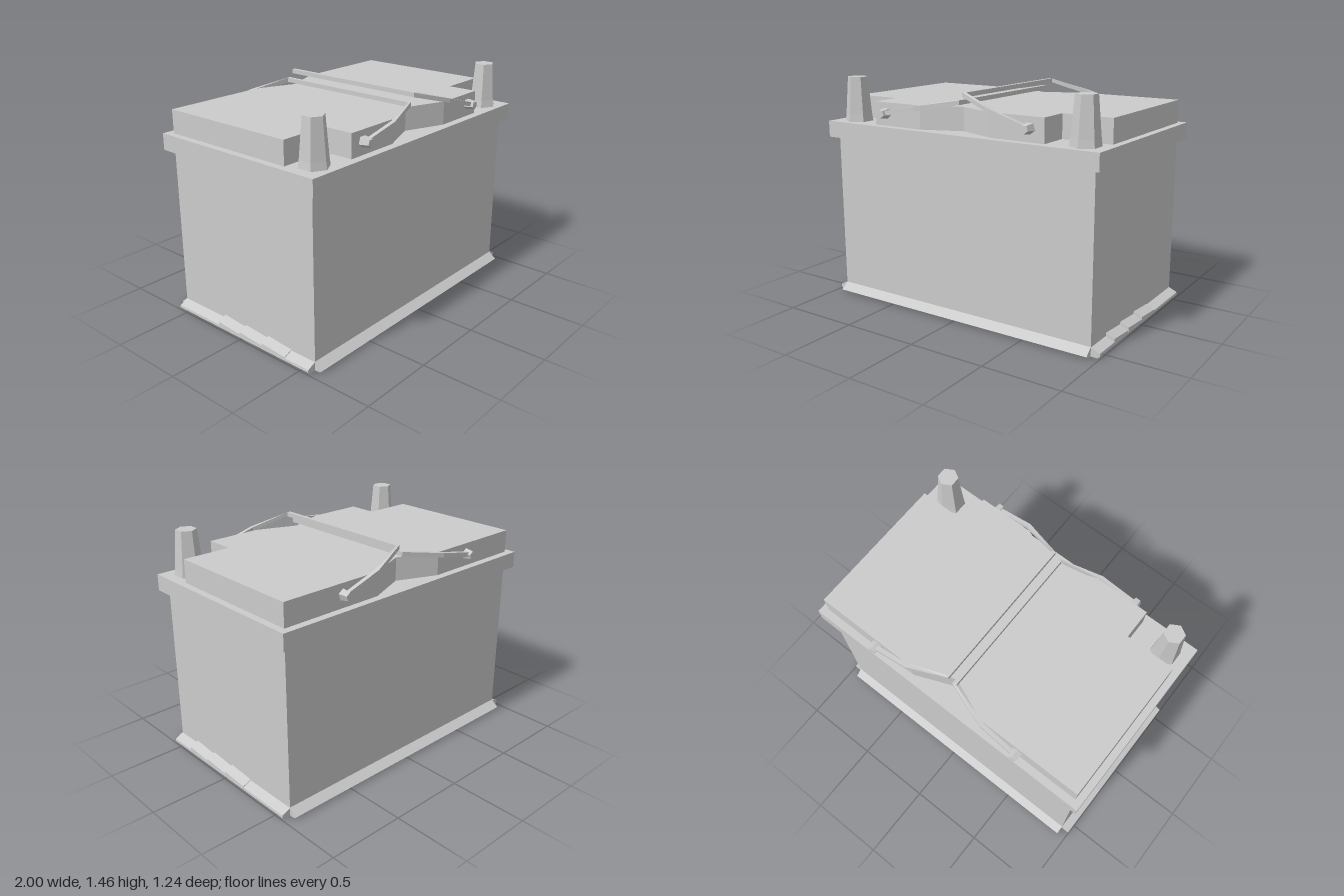
import * as THREE from 'three';

const material = new THREE.MeshStandardMaterial({ color: 0xcccccc, flatShading: true, side: THREE.DoubleSide });

function add(parent, name, geometry, x = 0, y = 0, z = 0) {
  const mesh = new THREE.Mesh(geometry, material);
  mesh.name = name;
  mesh.position.set(x, y, z);
  parent.add(mesh);
  return mesh;
}

function prism(points, depth) {
  const shape = new THREE.Shape(points.map(([x, y]) => new THREE.Vector2(x, y)));
  return new THREE.ExtrudeGeometry(shape, { depth, bevelEnabled: false });
}

// Square bar swept along a polyline, kept upright and mitred at the bends
function barGeometry(points, width, height) {
  const up = new THREE.Vector3(0, 1, 0);
  const positions = [], index = [];
  points.forEach((p, i) => {
    const before = points[Math.max(i - 1, 0)], after = points[Math.min(i + 1, points.length - 1)];
    const side = new THREE.Vector3().subVectors(after, before).cross(up).normalize();
    for (const [s, t] of [[-1, -1], [1, -1], [1, 1], [-1, 1]]) {
      const v = p.clone().addScaledVector(side, s * width / 2).addScaledVector(up, t * height / 2);
      positions.push(v.x, v.y, v.z);
    }
    if (i === 0) return;
    for (let k = 0; k < 4; k++) {
      const a = (i - 1) * 4 + k, b = (i - 1) * 4 + (k + 1) % 4;
      index.push(a, b, a + 4, b, b + 4, a + 4);
    }
  });
  const e = (points.length - 1) * 4;
  index.push(0, 2, 1, 0, 3, 2, e, e + 1, e + 2, e, e + 2, e + 3);
  const g = new THREE.BufferGeometry();
  g.setAttribute('position', new THREE.Float32BufferAttribute(positions, 3));
  g.setIndex(index);
  g.computeVertexNormals();
  return g;
}

export function createModel() {
  const model = new THREE.Group();
  model.name = 'battery';

  // Case and lid rim
  add(model, 'case', new THREE.BoxGeometry(1.88, 1.075, 1.13), 0, 0.5375, 0);
  add(model, 'lidRim', new THREE.BoxGeometry(1.97, 0.105, 1.225), 0, 1.122, 0);

  // Raised cover: notched at the terminals, pinched in the middle
  const half = [[0, 0.46], [0.26, 0.56], [0.62, 0.56], [0.62, 0.365], [0.94, 0.365],
    [0.94, -0.565], [0.26, -0.565], [0, -0.46]];
  const outline = [...half, ...half.slice(1, -1).reverse().map(([x, z]) => [-x, z])];
  const cover = prism(outline.map(([x, z]) => [x, -z]), 0.15);
  cover.rotateX(-Math.PI / 2);
  add(model, 'cover', cover, 0, 1.172, 0);

  // Flared foot along the front and back
  for (const s of [1, -1]) {
    const skirt = prism([[0, 0], [0.04, 0.004], [0.055, 0.016], [0, 0.06]], 1.88);
    skirt.translate(0, 0, -0.94);
    skirt.rotateY(-s * Math.PI / 2);
    add(model, s > 0 ? 'frontFoot' : 'backFoot', skirt, 0, 0, s * 0.562);
  }

  // Stepped foot along the two sides
  const breaks = [-0.565, -0.38, -0.19, 0, 0.19, 0.38, 0.565];
  for (const s of [1, -1]) {
    const foot = new THREE.Group();
    foot.name = s > 0 ? 'leftFoot' : 'rightFoot';
    model.add(foot);
    for (let i = 0; i < 6; i++) {
      const length = breaks[i + 1] - breaks[i];
      const rib = i > 1 && i < 5;
      const step = prism([[0, 0], [0.045, 0], [0.06, 0.014], [0.058, 0.03], [0, 0.056]], length);
      const pos = step.attributes.position;
      for (let v = 0; v < pos.count; v++) {
        // the ribs rise like saw teeth
        if (rib && pos.getY(v) > 0.025) pos.setY(v, pos.getY(v) + 0.005 + 0.015 * pos.getZ(v) / length);
      }
      step.computeVertexNormals();
      if (s < 0) step.translate(0, 0, -length).rotateY(Math.PI);
      add(foot, 'footStep', step, s * 0.938, 0, breaks[i]);
    }
  }

  // Tapered terminal posts
  for (const s of [1, -1]) {
    const post = new THREE.Group();
    post.name = s > 0 ? 'leftTerminal' : 'rightTerminal';
    post.position.set(s * 0.835, 1.17, 0.485);
    model.add(post);
    add(post, 'postBase', new THREE.CylinderGeometry(0.085, 0.092, 0.05, 6), 0, 0.025, 0);
    add(post, 'postTaper', new THREE.CylinderGeometry(0.064, 0.085, 0.24, 6), 0, 0.17, 0);
  }

  // Folding carry handles with pivot lugs
  for (const [s, inner, top] of [[1, 0.032, 1.4], [-1, -0.018, 1.35]]) {
    const handle = new THREE.Group();
    handle.name = s > 0 ? 'leftHandle' : 'rightHandle';
    model.add(handle);
    const arm = [[s * 0.52, 1.258, 0.59], [s * 0.28, (1.258 + top) / 2, 0.58], [inner, top, 0.5]];
    const path = [...arm, ...arm.slice().reverse().map(([x, y, z]) => [x, y, -z])];
    add(handle, 'bar', barGeometry(path.map((p) => new THREE.Vector3(...p)), 0.026, 0.028));
    for (const e of [1, -1]) {
      const lug = add(handle, 'pivotLug', new THREE.CylinderGeometry(0.026, 0.038, 0.07, 5), s * 0.525, 1.255, e * 0.585);
      lug.rotation.x = e * Math.PI / 2;
    }
  }
  return model;
}
